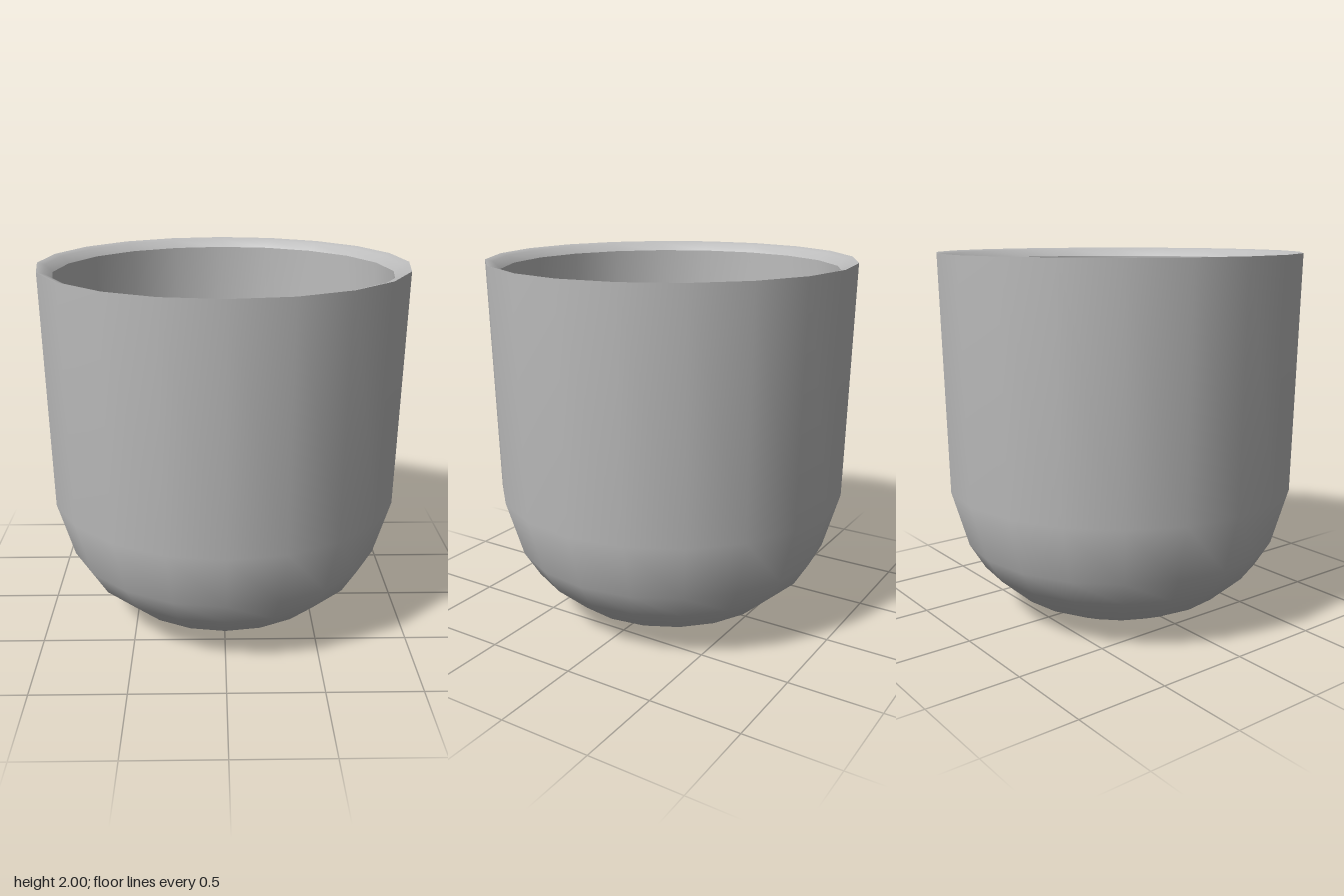
import * as THREE from 'three';

const SIDES = 20;

export function createModel() {
  const cup = new THREE.Group();
  cup.name = 'cup';
  const grey = new THREE.MeshStandardMaterial({ color: 0xbcbcbc });
  grey.name = 'matte grey';

  // Revolve a profile of [radius, height] points
  const turn = (name, profile) => {
    const points = profile.map(([r, y]) => new THREE.Vector2(r, y));
    const mesh = new THREE.Mesh(new THREE.LatheGeometry(points, SIDES), grey);
    mesh.name = name;
    cup.add(mesh);
  };

  // Rounded base rising into a nearly straight wall
  turn('outerWall', [
    [0, 0], [0.33, 0.01], [0.42, 0.03], [0.61, 0.12], [0.79, 0.28],
    [0.875, 0.42], [0.965, 0.73], [0.99, 2],
  ]);

  // Lip sloping slightly inwards
  turn('rim', [[0.99, 2], [0.95, 1.99], [0.91, 1.95]]);

  // Hollow bowl, from the lip down to the floor
  turn('innerWall', [
    [0.91, 1.95], [0.9, 0.75], [0.82, 0.46], [0.73, 0.32],
    [0.56, 0.18], [0.36, 0.1], [0, 0.08],
  ]);

  return cup;
}
